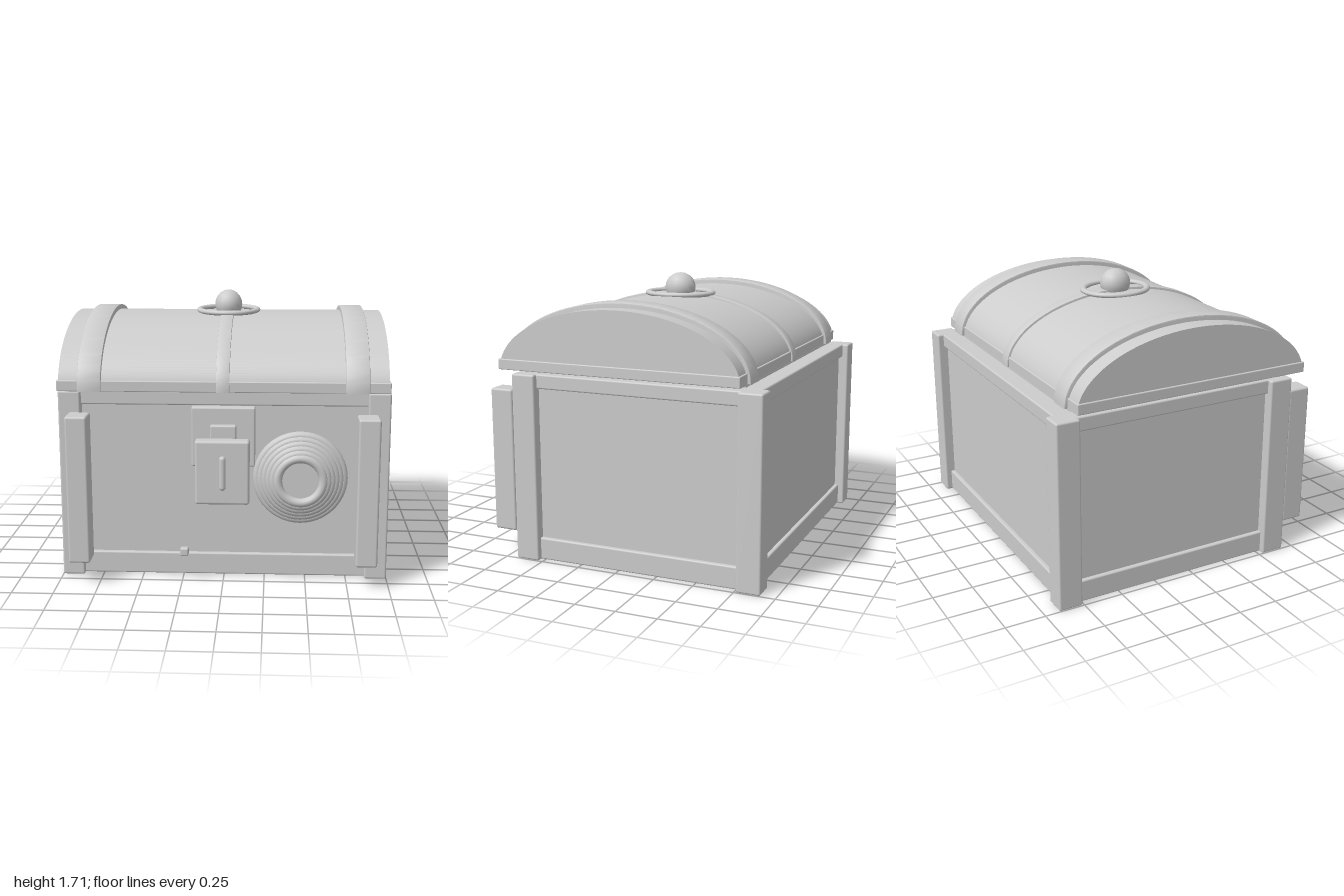
import * as THREE from 'three';
import { toCreasedNormals } from 'three/addons/utils/BufferGeometryUtils.js';
import { RoundedBoxGeometry } from 'three/addons/geometries/RoundedBoxGeometry.js';

export function createModel() {
  const root = new THREE.Group();
  root.name = 'treasureChest';
  const grey = new THREE.MeshStandardMaterial({ color: 0xcccccc });
  grey.name = 'plainGrey';

  const add = (name, geometry, x = 0, y = 0, z = 0) => {
    const mesh = new THREE.Mesh(geometry, grey);
    mesh.name = name;
    mesh.position.set(x, y, z);
    root.add(mesh);
    return mesh;
  };
  // Softly rounded box given by its limits on each axis
  const box = (name, x0, x1, y0, y1, z0, z1, r = 0.01) =>
    add(name, new RoundedBoxGeometry(x1 - x0, y1 - y0, z1 - z0, 2, r),
      (x0 + x1) / 2, (y0 + y1) / 2, (z0 + z1) / 2);
  // Half-elliptical slice of the lid running from x0 to x1
  const arch = (name, x0, x1, halfDepth, top, bevel = 0) => {
    const base = 1.18;
    const shape = new THREE.Shape();
    shape.absellipse(0, 0, halfDepth - bevel, top - base - bevel, 0, Math.PI, false, 0);
    shape.closePath();
    const geometry = new THREE.ExtrudeGeometry(shape, {
      depth: x1 - x0 - 2 * bevel, curveSegments: 40, bevelEnabled: bevel > 0,
      bevelSize: bevel, bevelThickness: bevel, bevelSegments: 2,
    });
    geometry.translate(0, bevel, bevel).rotateY(Math.PI / 2);
    add(name, toCreasedNormals(geometry, 0.6), x0, base, 0);
  };

  // Body: inner liner and recessed wall panels
  box('innerLiner', -0.86, 0.86, 0.02, 1.18, -0.76, 0.525);
  box('bodyPanels', -0.94, 0.94, 0.005, 1.15, -0.845, 0.615);

  // Rails between the corner posts
  for (const [level, y0, y1] of [['lower', 0.003, 0.14], ['upper', 1.075, 1.163]]) {
    box(level + 'FrontRail', -0.88, 0.88, y0, y1, 0.5, 0.64);
    box(level + 'BackRail', -0.88, 0.88, y0, y1, -0.87, -0.73);
    for (const s of [-1, 1]) {
      const x = [s * 0.84, s * 0.965].sort((a, b) => a - b);
      box(level + 'SideRail', x[0], x[1], y0, y1, -0.78, 0.55);
    }
  }

  for (const s of [-1, 1]) {
    const span = (a, b) => (s > 0 ? [a, b] : [-b, -a]);
    // Corner posts and the free-standing front bars
    box('frontPost', ...span(0.865, 1), 0, 1.163, 0.525, 0.677, 0.012);
    box('backPost', ...span(0.865, 1), 0, 1.163, -0.91, -0.76, 0.012);
    box('frontBar', ...span(0.795, 0.925), 0.145, 1.047, 0.725, 0.875, 0.014);
    // Wide lid bands
    arch('lidBand', ...span(0.72, 0.86), 0.79, 1.597, 0.006);
  }

  // Lid
  box('lidRim', -0.985, 0.985, 1.18, 1.245, -0.77, 0.775, 0.006);
  arch('lidDome', -0.975, 0.975, 0.77, 1.572);
  arch('lidStrap', -0.04, 0.04, 0.782, 1.583, 0.004);

  // Oval ring and knob on top
  const ring = new THREE.TorusGeometry(0.19, 0.02, 12, 48);
  ring.rotateX(Math.PI / 2).scale(0.98, 0.8, 1.1);
  add('lidRing', ring, 0, 1.58, 0);
  add('lidKnob', new THREE.SphereGeometry(0.1, 16, 10).scale(0.88, 0.95, 1), 0, 1.615, 0);

  // Lock
  box('haspPlate', -0.195, 0.19, 0.705, 1.07, 0.6, 0.675);
  box('shackle', -0.08, 0.077, 0.81, 0.966, 0.66, 0.71);
  box('lockBody', -0.165, 0.16, 0.505, 0.896, 0.728, 0.815, 0.016);
  add('keyhole', new THREE.CapsuleGeometry(0.02, 0.17, 6, 12), 0, 0.703, 0.825);

  // Coil of stacked rings
  for (let i = 0; i < 6; i++) {
    add('coilRing', new THREE.TorusGeometry(0.253 - i * 0.0238, 0.027, 12, 48),
      0.461, 0.68, 0.808 + i * 0.0145);
  }

  // Small stud
  box('stud', -0.26, -0.21, 0.165, 0.215, 0.73, 0.78);

  return root;
}
